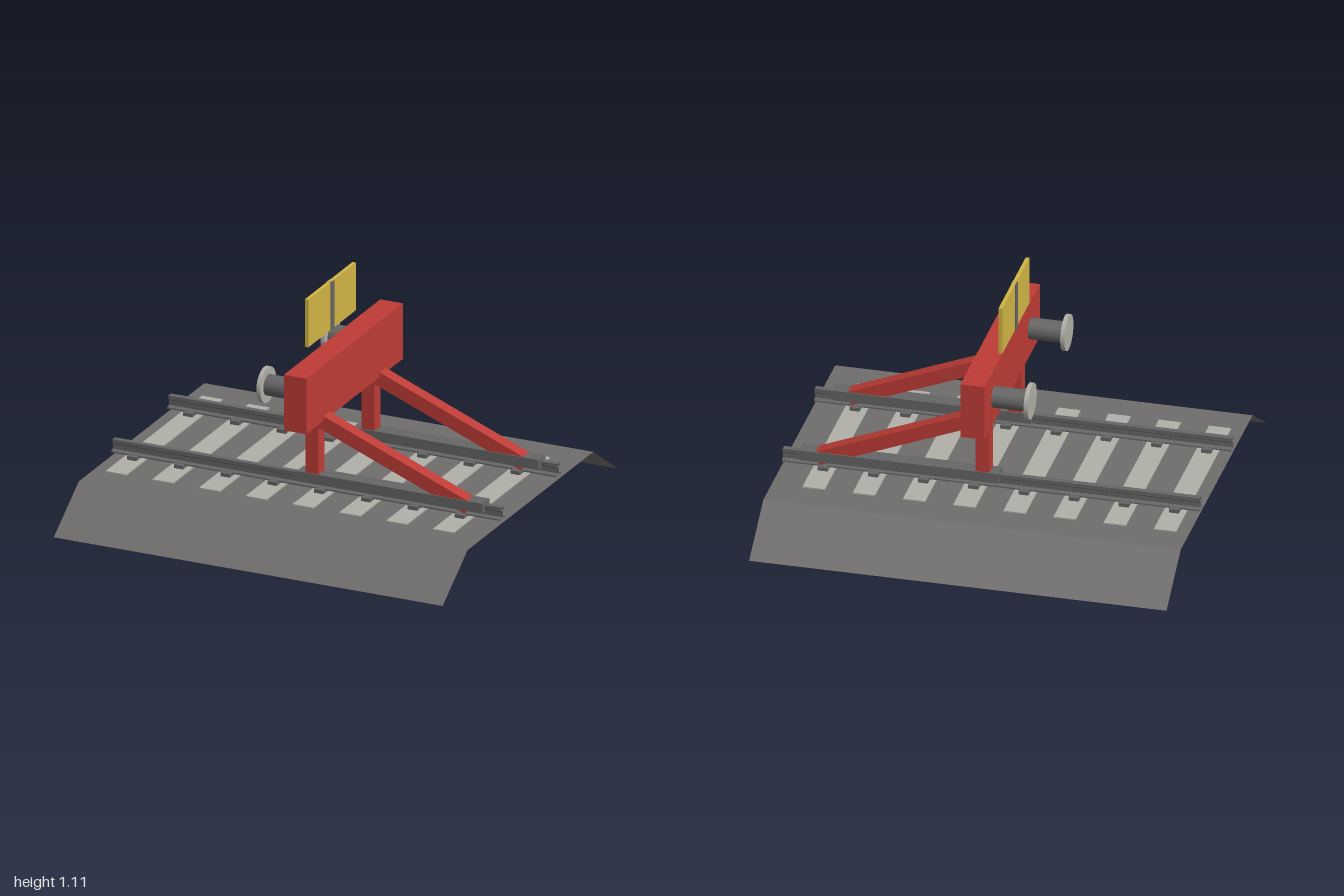
import * as THREE from 'three';

const mat = (name, color, side = THREE.FrontSide) => {
  const m = new THREE.MeshStandardMaterial({ color, side });
  m.name = name;
  return m;
};

export function createModel() {
  const model = new THREE.Group();
  model.name = 'trackEndStop';

  const ballastGrey = mat('ballastGrey', 0x706e6d, THREE.DoubleSide);
  const steel = mat('steelGrey', 0x666666, THREE.DoubleSide);
  const concrete = mat('paleConcrete', 0xb0b0a8);
  const red = mat('signalRed', 0xbf3c36);
  const yellow = mat('signYellow', 0xd2b545);

  const add = (name, geometry, material, x = 0, y = 0, z = 0) => {
    const mesh = new THREE.Mesh(geometry, material);
    mesh.name = name;
    mesh.position.set(x, y, z);
    model.add(mesh);
    return mesh;
  };

  // Box given by its limits on each axis
  const box = (name, material, [x0, x1], [y0, y1], [z0, z1]) =>
    add(name, new THREE.BoxGeometry(x1 - x0, y1 - y0, z1 - z0), material,
      (x0 + x1) / 2, (y0 + y1) / 2, (z0 + z1) / 2);

  // Open-ended sheet along x: each row of a plane moves to a (z, y) profile point
  const sweep = (profile) => {
    const plane = new THREE.PlaneGeometry(2, 1, 1, profile.length - 1);
    const pos = plane.attributes.position;
    profile.forEach(([z, y], row) => {
      pos.setXYZ(row * 2, -1, y, z);
      pos.setXYZ(row * 2 + 1, 1, y, z);
    });
    const flat = plane.toNonIndexed();
    flat.computeVertexNormals();
    return flat;
  };

  // Ballast bed, an open sheet with sloping shoulders
  add('ballast', sweep([[-0.95, 0], [-0.68, 0.182], [0.68, 0.182], [0.95, 0]]), ballastGrey);

  // Sleepers with a chair under each rail
  const railZ = 0.303;
  for (let i = 0; i < 8; i++) {
    const x = -0.884 + i * 0.2405;
    box('sleeper', concrete, [x - 0.053, x + 0.053], [0.105, 0.188], [-0.522, 0.522]);
    for (const s of [-1, 1]) {
      box('railChair', steel, [x - 0.024, x + 0.024], [0.186, 0.206],
        [s * railZ - 0.048, s * railZ + 0.048]);
    }
  }

  // Rail section: foot, web and head, mirrored about its centre
  const half = [[0.026, 0.2], [0.026, 0.207], [0.007, 0.213], [0.007, 0.237],
    [0.014, 0.243], [0.014, 0.262]];
  const mirrored = half.map(([z, y]) => [-z, y]);
  const section = [...mirrored, ...half.slice().reverse(), mirrored[0]];

  for (const s of [-1, 1]) {
    const z = s * railZ;
    add('rail', sweep(section), steel, 0, 0, z);
    box('railClamp', steel, [-0.04, 0.915], [0.226, 0.276], [z - 0.038, z + 0.038]);

    // Upright post and sloping brace
    box('post', red, [0.004, 0.07], [0.25, 0.57], [z - 0.033, z + 0.033]);
    const a = new THREE.Vector2(0.04, 0.558), b = new THREE.Vector2(0.833, 0.24);
    const brace = add('brace', new THREE.BoxGeometry(a.distanceTo(b), 0.068, 0.066), red,
      (a.x + b.x) / 2, (a.y + b.y) / 2, z);
    brace.rotation.z = Math.atan2(b.y - a.y, b.x - a.x);

    // Impact ram with its round plate
    const shaft = add('ramShaft', new THREE.CylinderGeometry(0.051, 0.051, 0.18, 24),
      steel, -0.1, 0.686, s * 0.347);
    const plate = add('ramPlate', new THREE.CylinderGeometry(0.087, 0.087, 0.02, 24),
      concrete, -0.194, 0.686, s * 0.347);
    shaft.rotation.z = plate.rotation.z = Math.PI / 2;
  }

  // Cross beam
  box('crossBeam', red, [-0.02, 0.096], [0.549, 0.827], [-0.522, 0.522]);

  // Warning sign with its central strip
  box('sign', yellow, [-0.038, -0.02], [0.868, 1.106], [-0.258, 0.258]);
  box('signStrip', steel, [-0.043, -0.017], [0.868, 1.106], [-0.02, 0.02]);

  return model;
}
